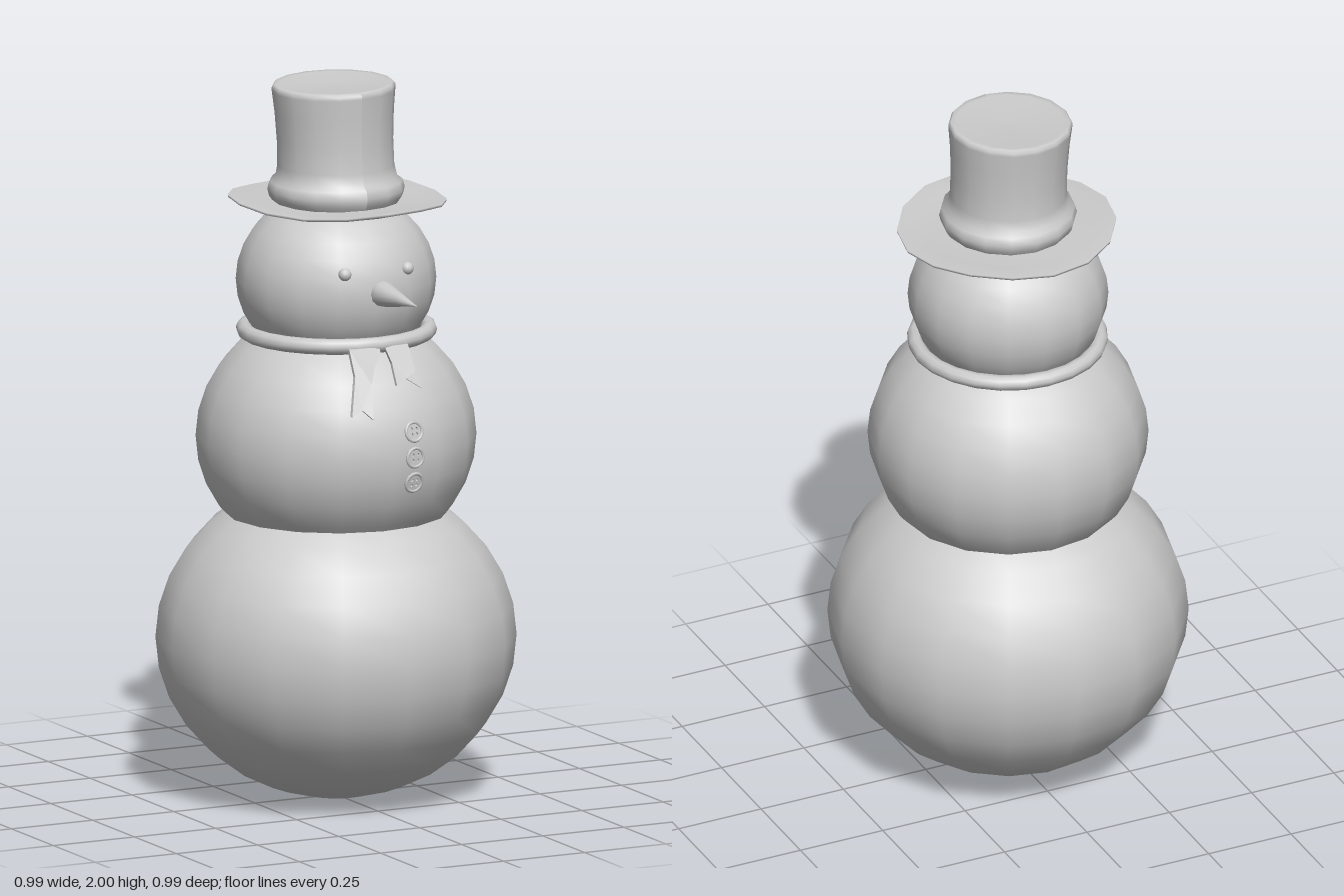
import * as THREE from 'three';

const material = new THREE.MeshStandardMaterial({ color: 0xcccccc });
const thinMaterial = new THREE.MeshStandardMaterial({ color: 0xcccccc, side: THREE.DoubleSide });
const V2 = (p) => new THREE.Vector2(p[0], p[1]);

// Middle snowball, reused to seat the buttons and scarf tails
const BODY = { y: 1.015, r: 0.385, ry: 0.357 };
const bodyZ = (x, y) =>
  BODY.r * Math.sqrt(Math.max(0, 1 - (x / BODY.r) ** 2 - ((y - BODY.y) / BODY.ry) ** 2));

function add(parent, name, geometry, mat = material) {
  const mesh = new THREE.Mesh(geometry, mat);
  mesh.name = name;
  parent.add(mesh);
  return mesh;
}

// Slightly flattened ball with 16 sides
function snowball(parent, name, y, r, ry) {
  const ball = add(parent, name, new THREE.SphereGeometry(1, 16, 16));
  ball.scale.set(r, ry, r);
  ball.position.y = y;
  ball.rotation.y = -0.045;
}

// Move every vertex by a rule
function reshape(geometry, rule) {
  const pos = geometry.attributes.position;
  const v = new THREE.Vector3();
  for (let i = 0; i < pos.count; i++) {
    rule(v.fromBufferAttribute(pos, i));
    pos.setXYZ(i, v.x, v.y, v.z);
  }
  geometry.computeVertexNormals();
  return geometry;
}

// Disc button with a raised rim and four thread holes
function makeButton() {
  const button = new THREE.Group();
  const disc = new THREE.Shape().absarc(0, 0, 0.027, 0, Math.PI * 2);
  for (let i = 0; i < 4; i++) {
    const a = Math.PI / 4 + (i * Math.PI) / 2;
    disc.holes.push(
      new THREE.Path().absarc(0.011 * Math.cos(a), 0.011 * Math.sin(a), 0.0045, 0, Math.PI * 2, true));
  }
  add(button, 'buttonDisc', new THREE.ExtrudeGeometry(disc,
    { depth: 0.006, bevelEnabled: false, curveSegments: 8 }));
  add(button, 'buttonRim', new THREE.TorusGeometry(0.026, 0.005, 6, 16)).position.z = 0.005;
  return button;
}

// Notched cloth strip draped over the chest
function makeTail(points) {
  const geometry = new THREE.ExtrudeGeometry(new THREE.Shape(points.map(V2)),
    { depth: 0.012, bevelEnabled: false });
  return reshape(geometry, (v) => {
    v.z += Math.max(0.262 + (1.31 - v.y) * 0.5, bodyZ(v.x, v.y) + 0.002);
  });
}

function makeHat() {
  const hat = new THREE.Group();
  hat.name = 'hat';

  // Wavy brim, turned up toward its edge
  const brim = new THREE.LatheGeometry(
    [[0.1, 1.652], [0.17, 1.652], [0.24, 1.656], [0.3, 1.67], [0.301, 1.677],
      [0.24, 1.671], [0.17, 1.671], [0.1, 1.671]].map(V2), 16);
  reshape(brim, (v) => {
    const r = Math.hypot(v.x, v.z);
    const a = Math.atan2(v.z, v.x);
    const t = Math.max(0, (r - 0.15) / 0.15);
    v.y += t * (0.007 * Math.cos(3 * a + 2.4) - 0.005 * Math.cos(a));
    v.x += 0.008;
    v.z -= 0.008;
  });
  add(hat, 'hatBrim', brim, thinMaterial);

  // Crown with a rolled band at its foot and a slightly flared top
  const crown = new THREE.LatheGeometry(
    [[0.17, 1.665], [0.184, 1.685], [0.189, 1.705], [0.183, 1.727], [0.168, 1.738],
      [0.161, 1.77], [0.16, 1.84], [0.164, 1.92], [0.17, 1.98], [0.17, 1.99],
      [0.164, 1.998], [0.15, 1.997], [0.08, 1.992], [0, 1.99]].map(V2), 16);
  reshape(crown, (v) => {
    const t = Math.max(0, (v.y - 1.74) / 0.26);
    v.x -= 0.004 * t;
    v.z -= 0.008 * t;
    v.y += t * v.x * 0.02;
  });
  add(hat, 'hatCrown', crown, thinMaterial);
  return hat;
}

export function createModel() {
  const model = new THREE.Group();
  model.name = 'snowman';

  // Three stacked snowballs
  snowball(model, 'baseSnowball', 0.452, 0.495, 0.446);
  snowball(model, 'bodySnowball', BODY.y, BODY.r, BODY.ry);
  snowball(model, 'head', 1.453, 0.275, 0.25);

  // Face
  for (const [name, x] of [['leftEye', 0.092], ['rightEye', -0.1]]) {
    add(model, name, new THREE.SphereGeometry(0.018, 12, 8)).position.set(x, 1.516, 0.247);
  }
  const nose = new THREE.LatheGeometry(
    [[0, 0], [0.03, 0.002], [0.037, 0.02], [0.034, 0.045], [0.018, 0.13], [0, 0.225]].map(V2), 12);
  nose.rotateX(Math.PI / 2);
  const carrot = add(model, 'carrotNose', nose);
  carrot.position.set(0.004, 1.457, 0.24);
  carrot.rotation.y = 0.03;

  // Scarf loop and its two hanging ends
  const loop = add(model, 'scarfLoop', new THREE.TorusGeometry(0.254, 0.022, 10, 24));
  loop.rotation.x = Math.PI / 2;
  loop.position.set(0, 1.312, 0.003);
  add(model, 'scarfLongEnd', makeTail([[-0.1, 1.31], [-0.1, 1.24], [-0.135, 1.14], [-0.1, 1.155],
    [-0.075, 1.13], [-0.057, 1.22], [-0.035, 1.26], [-0.008, 1.29], [-0.008, 1.31]]));
  add(model, 'scarfShortEnd', makeTail([[0.008, 1.31], [0.02, 1.265], [0.015, 1.21], [0.05, 1.225],
    [0.095, 1.195], [0.085, 1.24], [0.08, 1.31]]));

  // Buttons laid on the chest, facing along its surface normal
  for (const y of [1.086, 1.016, 0.946]) {
    const x = 0.045;
    const z = bodyZ(x, y);
    const button = makeButton();
    button.name = 'button';
    button.position.set(x, y, z - 0.002);
    button.lookAt(x + x, y + (y - BODY.y) * (BODY.r / BODY.ry) ** 2, z + z);
    model.add(button);
  }

  model.add(makeHat());
  return model;
}
